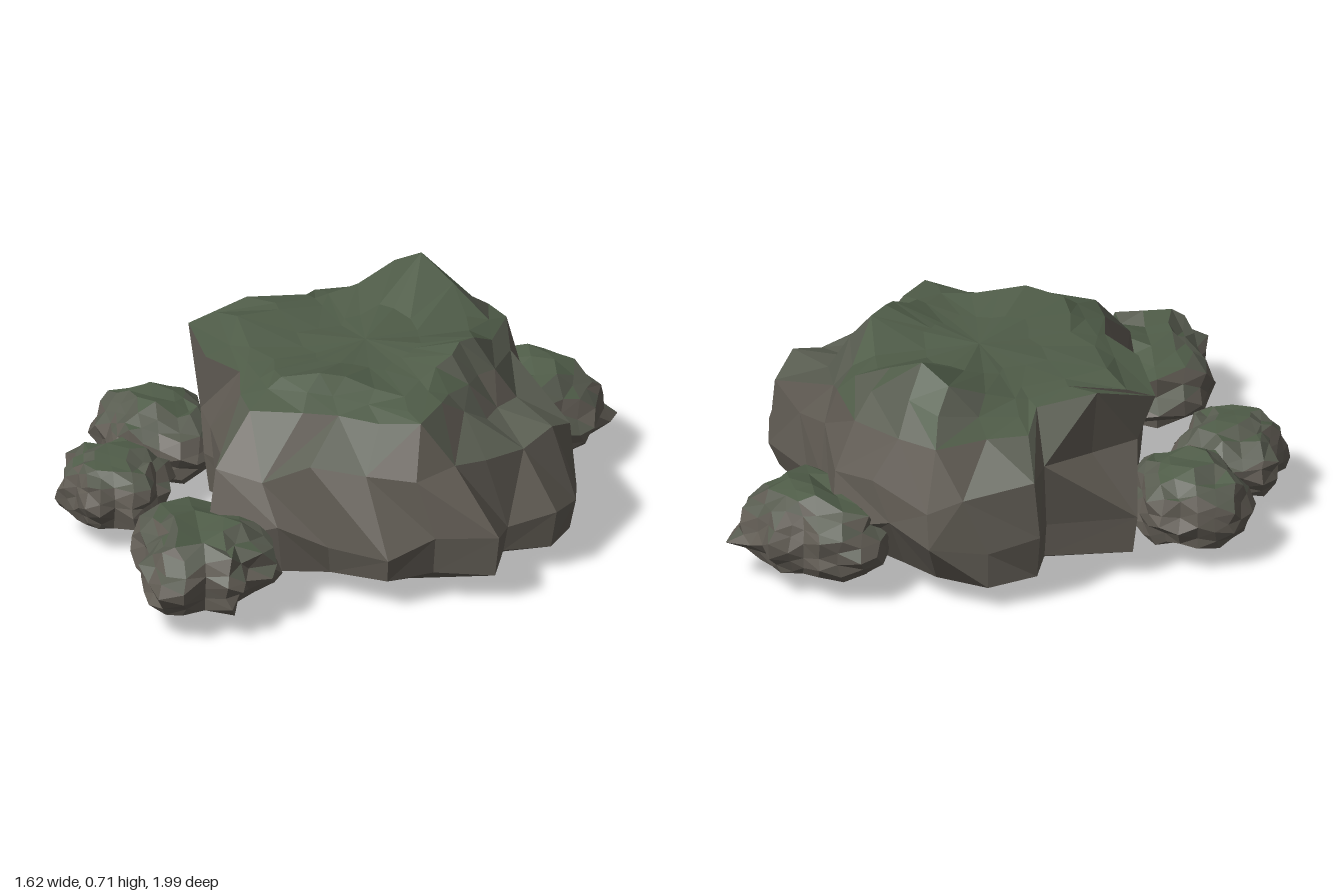
import * as THREE from 'three';
import { mergeVertices } from 'three/addons/utils/BufferGeometryUtils.js';

// Bare stone, stone with a little moss, full moss
const tones = [['stone', 0x625d55], ['mossyStone', 0x585c50], ['moss', 0x4f5c48]].map(([name, color]) => ({
  name,
  material: new THREE.MeshStandardMaterial({ color, roughness: 1, flatShading: true }),
}));

// Repeatable pseudo-random value from 0 to 1
const hash = (n) => {
  const s = Math.sin(n * 127.1 + 11.7) * 43758.5453;
  return s - Math.floor(s);
};
const jitter = (n, amount) => (hash(n) - 0.5) * 2 * amount;

// Sorts a rock's triangles into tones by upward slope and height
function makeRock(name, triangles, mossLine) {
  const rock = new THREE.Group();
  rock.name = name;
  const buckets = tones.map(() => []);
  const normal = new THREE.Vector3();
  for (const tri of triangles) {
    new THREE.Triangle(...tri).getNormal(normal);
    const height = (tri[0].y + tri[1].y + tri[2].y) / 3;
    const moss = normal.y + (height - mossLine) * 2;
    buckets[moss > 0.95 ? 2 : moss > 0.55 ? 1 : 0].push(...tri);
  }
  buckets.forEach((points, i) => {
    if (!points.length) return;
    const geometry = new THREE.BufferGeometry().setFromPoints(points);
    geometry.computeVertexNormals();
    const mesh = new THREE.Mesh(geometry, tones[i].material);
    mesh.name = `${name}_${tones[i].name}`;
    rock.add(mesh);
  });
  return rock;
}

// Large boulder: one plan outline, scaled towards its centre at each level
function boulder() {
  const cx = 0.1, cz = -0.15;
  const outline = [
    [0.82, -0.03], [0.7, 0.07], [0.765, 0.27], [0.58, 0.34], [0.48, 0.47], [0.27, 0.46],
    [0.13, 0.53], [-0.1, 0.56], [-0.16, 0.34], [-0.2, 0.15], [-0.42, 0.1], [-0.5, -0.16],
    [-0.54, -0.37], [-0.29, -0.5], [-0.35, -0.67], [-0.22, -0.77], [-0.07, -0.88], [0.09, -0.83],
    [0.3, -0.8], [0.42, -0.63], [0.52, -0.52], [0.76, -0.3], [0.82, -0.17],
  ];
  const foot = [0.97, 0.97, 0.97, 0.97, 0.97, 0.95, 0.95, 0.95, 0.95, 0.92, 0.82, 0.8,
    0.97, 0.97, 0.95, 1, 0.86, 0.84, 0.84, 0.86, 0.92, 0.95, 0.97];
  const waist = [1, 1, 1, 1, 1, 1, 1, 1, 1, 0.97, 0.85, 0.84,
    1, 1, 1, 1, 1, 1, 1, 1, 1, 1, 1];
  const shoulder = [0.86, 0.87, 0.8, 0.93, 0.88, 0.92, 0.92, 0.95, 1, 1.05, 0.88, 0.9,
    0.8, 1, 1, 0.98, 0.98, 0.98, 0.97, 0.95, 0.95, 0.97, 0.9];
  const rim = [0.64, 0.7, 0.58, 0.8, 0.66, 0.7, 0.7, 0.72, 0.85, 0.95, 0.84, 1,
    0.74, 0.85, 0.8, 0.8, 0.87, 0.9, 0.85, 0.9, 0.85, 0.72, 0.63];
  const rimY = [0.45, 0.5, 0.56, 0.55, 0.53, 0.54, 0.55, 0.54, 0.54, 0.55, 0.54, 0.53,
    0.58, 0.56, 0.52, 0.52, 0.52, 0.52, 0.52, 0.55, 0.5, 0.45, 0.45];
  // Crest bumps: x, z, rise
  const peaks = [[0.1, -0.57, 0.14], [0.11, 0.18, 0.06], [0.43, -0.17, 0.08], [-0.33, -0.2, 0.02]];
  const crestY = (x, z) => peaks.reduce(
    (y, [px, pz, h]) => y + h * Math.exp(-((x - px) ** 2 + (z - pz) ** 2) / 0.025), 0.57);

  // A slide moves the point along the outline towards the next corner
  const at = (k, s, y, slide = 0) => {
    const [x, z] = outline[k];
    const [nx, nz] = outline[(k + 1) % outline.length];
    return new THREE.Vector3(
      cx + (x + (nx - x) * slide - cx) * s, y, cz + (z + (nz - z) * slide - cz) * s);
  };
  const ring = (f) => outline.map((_, k) => f(k));
  const onCrest = (k, s) => {
    const p = at(k, s, 0);
    p.y = crestY(p.x, p.z);
    return p;
  };
  const crest = ring((k) => onCrest(k, rim[k] * 0.72));
  const rings = [
    ring((k) => at(k, 0.8 * foot[k], 0.035 + jitter(k, 0.012), 0.3 * hash(k + 5))),
    ring((k) => at(k, foot[k], 0.09 + jitter(k + 30, 0.015))),
    ring((k) => at(k, waist[k], 0.22 + jitter(k + 60, 0.06))),
    ring((k) => at(k, shoulder[k], 0.38 + jitter(k + 90, 0.05), 0.45 * hash(k + 9))),
    ring((k) => at(k, rim[k], rimY[k])),
    ring((k) => at(k, rim[k] * 0.86, Math.max(0.55, (rimY[k] + crest[k].y) / 2), 0.3 * hash(k + 3))),
    crest,
    ring((k) => onCrest(k, rim[k] * 0.38)),
  ];

  // Join the rings from the bottom up, closed by a point at each end
  const bottom = new THREE.Vector3(0.11, 0, -0.17);
  const top = new THREE.Vector3(0.1, 0.59, -0.17);
  const last = rings[rings.length - 1];
  const triangles = [];
  for (let k = 0; k < outline.length; k++) {
    const j = (k + 1) % outline.length;
    triangles.push([bottom, rings[0][k], rings[0][j]], [top, last[j], last[k]]);
    for (let i = 0; i < rings.length - 1; i++) {
      const a = rings[i][k], b = rings[i][j], c = rings[i + 1][k], d = rings[i + 1][j];
      if (hash(k * 7 + i) > 0.5) triangles.push([a, c, b], [b, c, d]);
      else triangles.push([a, c, d], [a, d, b]);
    }
  }
  return makeRock('boulder', triangles, 0.5);
}

// Small craggy rock: a roughened, flat-bottomed ball spread to a plan outline
function smallRock(name, seed, height, outline) {
  const n = outline.length;
  const cx = outline.reduce((sum, p) => sum + p[0], 0) / n;
  const cz = outline.reduce((sum, p) => sum + p[1], 0) / n;
  // Distance from the centre to the outline along a unit direction
  const reach = (dx, dz) => {
    let far = 0;
    outline.forEach(([px, pz], k) => {
      const [qx, qz] = outline[(k + 1) % n];
      const ex = qx - px, ez = qz - pz;
      const det = dx * ez - dz * ex;
      if (Math.abs(det) < 1e-9) return;
      const t = ((px - cx) * ez - (pz - cz) * ex) / det;
      const u = ((px - cx) * dz - (pz - cz) * dx) / det;
      if (t > 0 && u >= 0 && u <= 1) far = Math.max(far, t);
    });
    return far;
  };

  const ball = new THREE.IcosahedronGeometry(1, 3);
  ball.deleteAttribute('normal');
  ball.deleteAttribute('uv');
  const geometry = mergeVertices(ball, 1e-3);
  const pos = geometry.attributes.position;
  const middle = 0.16, base = 0.07;
  const points = Array.from({ length: pos.count }, (_, i) => {
    const v = new THREE.Vector3().fromBufferAttribute(pos, i);
    const flat = Math.hypot(v.x, v.z);
    const dx = flat > 1e-6 ? v.x / flat : 1, dz = flat > 1e-6 ? v.z / flat : 0;
    const r = reach(dx, dz) * flat ** 0.85 * (1.04 - 0.2 * hash(seed + i));
    const rough = 0.82 + 0.3 * hash(seed + i + 300);
    const y = v.y > 0
      ? middle + v.y * (height - middle) * rough + jitter(seed + i + 600, 0.012)
      : Math.max(base + 0.01 * hash(seed + i + 900), middle + v.y * 0.13 * rough);
    return new THREE.Vector3(cx + dx * r, y, cz + dz * r);
  });
  const index = geometry.index.array;
  const triangles = [];
  for (let i = 0; i < index.length; i += 3) {
    triangles.push([points[index[i]], points[index[i + 1]], points[index[i + 2]]]);
  }
  return makeRock(name, triangles, 0.24);
}

export function createModel() {
  const model = new THREE.Group();
  model.name = 'rockCluster';
  model.add(
    boulder(),
    smallRock('frontRock', 1000, 0.3, [
      [0.21, 0.69], [0.14, 0.76], [0.19, 0.9], [0.06, 0.86], [0.02, 0.99], [-0.07, 1], [-0.2, 0.87],
      [-0.2, 0.79], [-0.33, 0.69], [-0.33, 0.55], [-0.27, 0.42], [-0.16, 0.38], [0, 0.43], [0.16, 0.54],
    ]),
    smallRock('rightRock', 2000, 0.31, [
      [-0.36, -0.05], [-0.35, 0.06], [-0.47, 0.1], [-0.6, 0.14], [-0.7, 0.04], [-0.78, -0.03],
      [-0.82, -0.1], [-0.77, -0.24], [-0.63, -0.3], [-0.52, -0.31], [-0.42, -0.2],
    ]),
    smallRock('rightFrontRock', 3000, 0.28, [
      [-0.39, 0.14], [-0.37, 0.25], [-0.35, 0.4], [-0.39, 0.49], [-0.46, 0.45], [-0.53, 0.5],
      [-0.6, 0.45], [-0.72, 0.38], [-0.69, 0.3], [-0.75, 0.22], [-0.72, 0.12], [-0.58, 0.07],
    ]),
    smallRock('backRock', 4000, 0.32, [
      [0.62, -0.92], [0.62, -0.68], [0.58, -0.6], [0.52, -0.52], [0.4, -0.55], [0.25, -0.65], [0.12, -0.75],
      [0.08, -0.85], [0.12, -0.94], [0.27, -1], [0.34, -0.96], [0.42, -1], [0.47, -0.94],
    ]),
  );
  return model;
}
